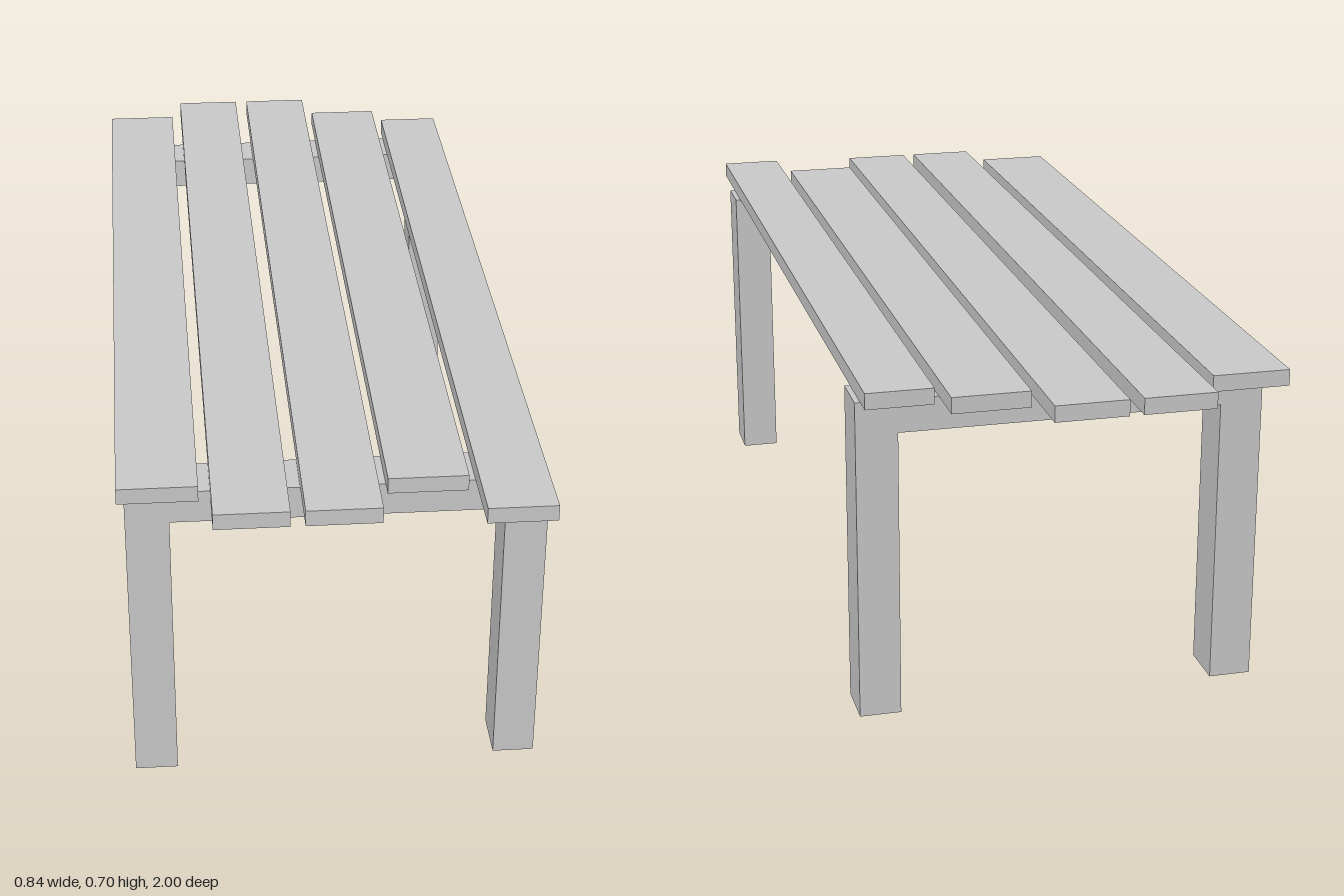
import * as THREE from 'three';

const material = new THREE.MeshStandardMaterial({ color: 0xcccccc, flatShading: true });

const FRAME_TOP = 0.666, SLAT_TOP = 0.699;

// Box given by its limits on each axis
function plank(name, x0, x1, y0, y1, z0, z1) {
  const mesh = new THREE.Mesh(new THREE.BoxGeometry(x1 - x0, y1 - y0, z1 - z0), material);
  mesh.position.set((x0 + x1) / 2, (y0 + y1) / 2, (z0 + z1) / 2);
  mesh.name = name;
  return mesh;
}

// Two legs and their crossbeam as one solid arch
function legFrame(name, z0, z1) {
  const shape = new THREE.Shape([
    [-0.406, 0], [-0.32, 0], [-0.32, 0.598], [0.333, 0.598],
    [0.333, 0], [0.417, 0], [0.417, FRAME_TOP], [-0.406, FRAME_TOP],
  ].map(([x, y]) => new THREE.Vector2(x, y)));
  const geometry = new THREE.ExtrudeGeometry(shape, { depth: z1 - z0, bevelEnabled: false });
  const mesh = new THREE.Mesh(geometry, material);
  mesh.position.z = z0;
  mesh.name = name;
  return mesh;
}

export function createModel() {
  const bench = new THREE.Group();
  bench.name = 'slattedBench';

  bench.add(legFrame('frontLegFrame', 0.745, 0.847));
  bench.add(legFrame('backLegFrame', -0.806, -0.704));

  // Uneven seat slats: x from, x to, z from, z to
  const slats = [
    [-0.42, -0.264, -0.91, 0.882],
    [-0.241, -0.096, -1, 0.983],
    [-0.068, 0.078, -1, 0.983],
    [0.097, 0.253, -0.91, 0.882],
    [0.271, 0.406, -0.85, 1],
  ];
  slats.forEach(([x0, x1, z0, z1], i) =>
    bench.add(plank(`seatSlat${i + 1}`, x0, x1, FRAME_TOP, SLAT_TOP, z0, z1)));

  return bench;
}
